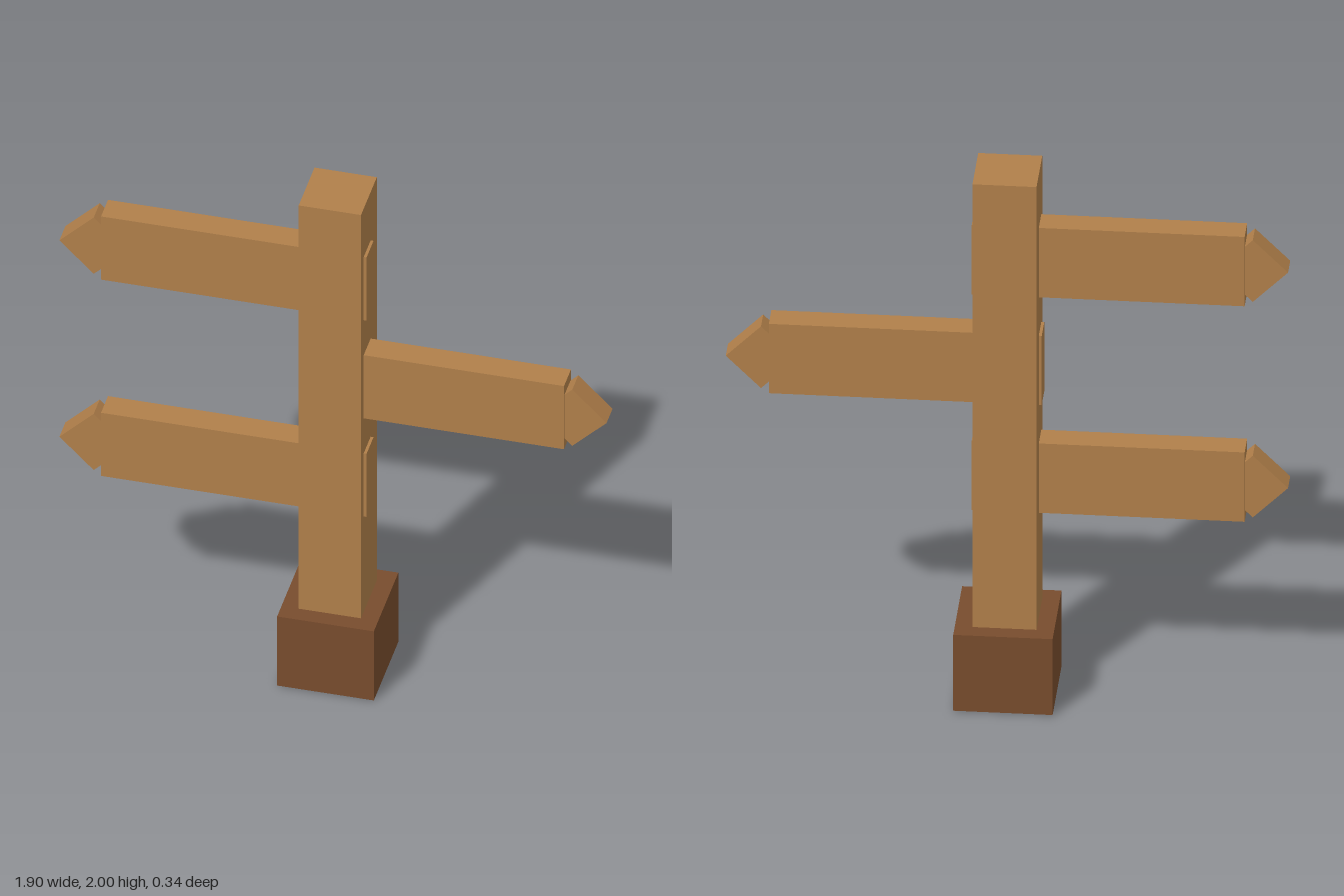
import * as THREE from 'three';

export function createModel() {
  const wood = new THREE.MeshStandardMaterial({ color: 0xb07f4a });
  wood.name = 'wood';
  const darkWood = new THREE.MeshStandardMaterial({ color: 0x784c2d });
  darkWood.name = 'darkWood';

  const model = new THREE.Group();
  model.name = 'signpost';

  function box(name, material, size, position, parent) {
    const mesh = new THREE.Mesh(new THREE.BoxGeometry(...size), material);
    mesh.name = name;
    mesh.position.set(...position);
    parent.add(mesh);
    return mesh;
  }

  // Upright post standing through a square foot
  box('post', wood, [0.216, 2, 0.216], [0, 1, 0], model);
  box('foot', darkWood, [0.335, 0.292, 0.335], [0, 0.149, 0], model);

  // Pointing boards, alternating sides; each tip is a square block turned 45 degrees
  const signs = [['upper', 1.662, -1], ['middle', 1.247, 1], ['lower', 0.832, -1]];
  for (const [level, y, side] of signs) {
    const sign = new THREE.Group();
    sign.name = level + 'Sign';
    sign.position.set(0, y, 0.024);
    box(level + 'Board', wood, [0.92, 0.267, 0.095], [side * 0.342, 0, 0], sign);
    const tip = box(level + 'Tip', wood, [0.168, 0.168, 0.082], [side * 0.829, 0, 0], sign);
    tip.rotation.z = Math.PI / 4;
    model.add(sign);
  }
  return model;
}
